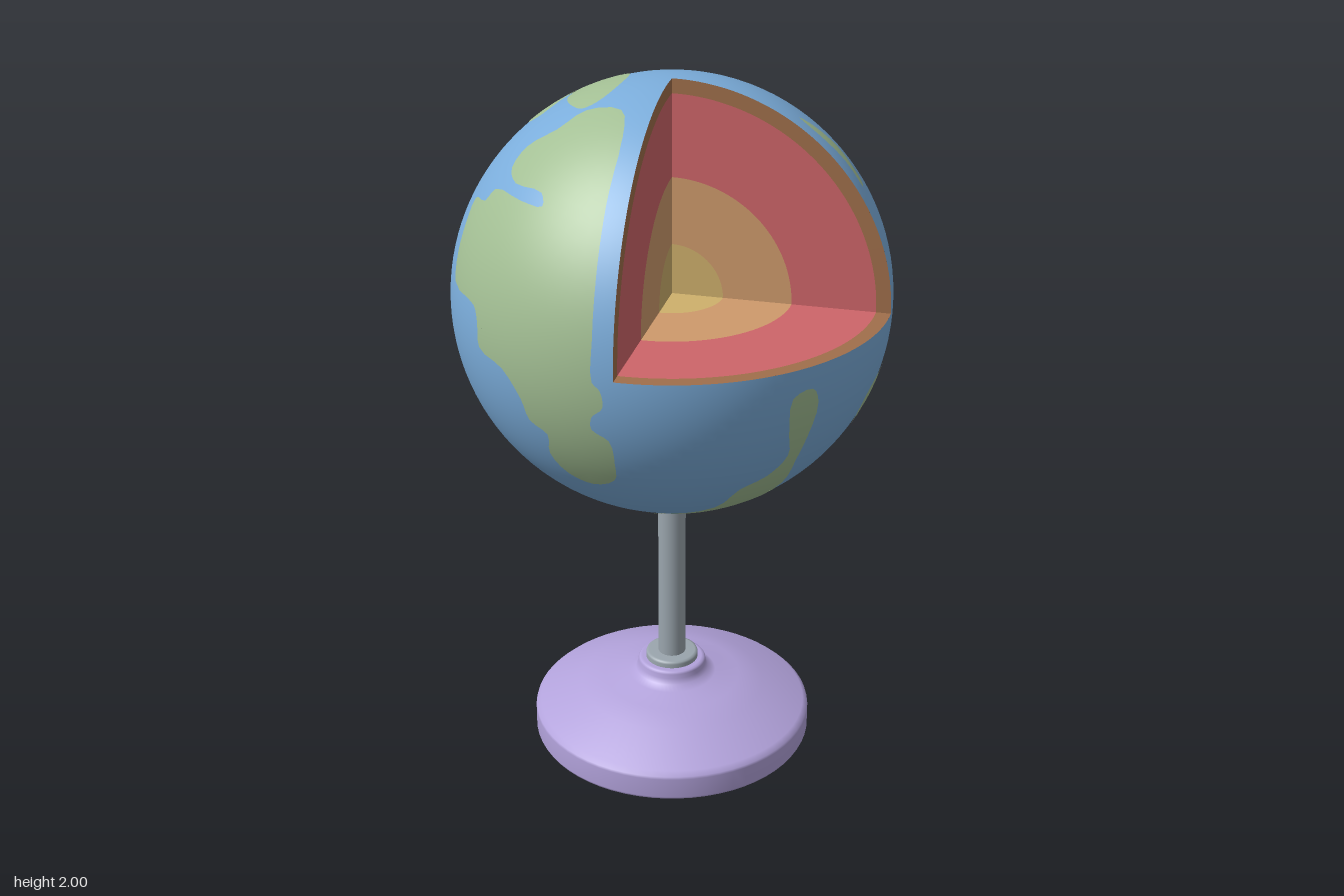
import * as THREE from 'three';

const R = 0.603;          // globe radius
const CY = 2 - R;         // globe centre height
const HALF = Math.PI / 2;

const mat = (name, color) => {
  const m = new THREE.MeshStandardMaterial({ color });
  m.name = name;
  return m;
};

// Lift flat outline points onto the sphere, seen along one direction
const V = (x, y, z) => new THREE.Vector3(x, y, z);
const lift = (right, up, toward, v0 = 0) => (pts) => pts.map(([u, v]) => {
  const b = v - v0;
  const w = Math.sqrt(Math.max(0, R * R - u * u - b * b));
  return V(0, 0, 0).addScaledVector(right, u).addScaledVector(up, b).addScaledVector(toward, w);
});
const fromFront = lift(V(1, 0, 0), V(0, 1, 0), V(0, 0, 1), CY);
const fromSide = lift(V(0, 0, 1), V(0, 1, 0), V(1, 0, 0), CY);
const fromTop = lift(V(1, 0, 0), V(0, 0, 1), V(0, 1, 0));
const fromBack = lift(V(-0.707, 0, 0.707), V(0.299, 0.906, 0.299), V(-0.641, 0.423, -0.641));

// Thin curved land patch filling a closed outline on the sphere
function landGeometry(outline) {
  const n = outline.length;
  const pts = new THREE.CatmullRomCurve3(outline.map((p) => p.clone().normalize()), true)
    .getPoints(n * 3).slice(0, -1).map((p) => p.normalize());
  const c = pts.reduce((s, p) => s.add(p), V(0, 0, 0)).normalize();
  const e1 = V(0.31, 0.52, -0.79).cross(c).normalize();
  const e2 = c.clone().cross(e1);
  const flatten = (p) => new THREE.Vector2(p.dot(e1), p.dot(e2)).divideScalar(1 + p.dot(c));
  if (THREE.ShapeUtils.isClockWise(pts.map(flatten))) pts.reverse();

  const pos = [], nor = [];
  // Halve the longest edge until the patch follows the curvature
  const split = (a, b, d) => {
    const ab = a.distanceTo(b), bd = b.distanceTo(d), da = d.distanceTo(a);
    const m = Math.max(ab, bd, da);
    if (m < 0.09) {
      for (const p of [a, b, d]) {
        nor.push(p.x, p.y, p.z);
        pos.push(p.x * (R + 0.002), p.y * (R + 0.002), p.z * (R + 0.002));
      }
      return;
    }
    if (m === bd) return split(b, d, a);
    if (m === da) return split(d, a, b);
    const mid = a.clone().add(b).normalize();
    split(a, mid, d);
    split(mid, b, d);
  };
  for (const [i, j, k] of THREE.ShapeUtils.triangulateShape(pts.map(flatten), [])) split(pts[i], pts[j], pts[k]);
  const g = new THREE.BufferGeometry();
  g.setAttribute('position', new THREE.Float32BufferAttribute(pos, 3));
  g.setAttribute('normal', new THREE.Float32BufferAttribute(nor, 3));
  return g;
}

const LANDS = {
  frontContinent: fromFront([
    [-0.055, 1.925], [-0.085, 1.963], [-0.185, 1.947], [-0.25, 1.905], [-0.33, 1.855], [-0.36, 1.81], [-0.33, 1.79],
    [-0.24, 1.795], [-0.23, 1.77], [-0.3, 1.765], [-0.4, 1.755], [-0.43, 1.72], [-0.48, 1.7], [-0.5, 1.635],
    [-0.513, 1.57], [-0.51, 1.5], [-0.42, 1.49], [-0.405, 1.45], [-0.4, 1.386], [-0.32, 1.36], [-0.265, 1.29],
    [-0.245, 1.23], [-0.195, 1.2], [-0.2, 1.13], [-0.16, 1.064], [-0.095, 1.04], [-0.026, 1.074], [-0.014, 1.14],
    [-0.02, 1.22], [-0.063, 1.25], [-0.06, 1.29], [-0.03, 1.32], [-0.035, 1.37], [-0.055, 1.39], [-0.055, 1.5],
    [-0.055, 1.65], [-0.055, 1.8]]),
  northContinent: fromBack([
    [-0.347, 0.318], [-0.307, 0.358], [-0.233, 0.386], [-0.102, 0.42], [0.08, 0.42], [0.108, 0.386], [0.193, 0.386],
    [0.278, 0.364], [0.295, 0.318], [0.261, 0.278], [0.318, 0.233], [0.33, 0.153], [0.295, 0.097], [0.222, 0.04],
    [0.136, 0.05], [0.114, 0.006], [0.119, -0.074], [0.051, -0.142], [-0.011, -0.09], [-0.017, -0.028],
    [0.017, 0.023], [-0.034, 0.05], [-0.148, 0.045], [-0.233, 0.085], [-0.26, 0.153], [-0.25, 0.216],
    [-0.273, 0.278], [-0.33, 0.284]]),
  northIsland: fromTop([
    [-0.25, -0.11], [-0.2, -0.1], [-0.143, -0.09], [-0.126, -0.03], [-0.136, 0.07], [-0.165, 0.133], [-0.2, 0.149],
    [-0.246, 0.1], [-0.278, 0.02], [-0.272, -0.05]]),
  sideIsland: fromSide([
    [0.11, 1.196], [0.074, 1.233], [-0.048, 1.243], [-0.1, 1.238], [-0.164, 1.2], [-0.185, 1.153], [-0.16, 1.1],
    [-0.1, 1.07], [-0.01, 1.058], [0.063, 1.085], [0.1, 1.13]]),
  tinyIsland: fromSide([[-0.11, 0.99], [-0.13, 1.005], [-0.15, 0.99], [-0.13, 0.975]]),
  slimIsland: fromSide([
    [-0.058, 1.9], [-0.085, 1.873], [-0.11, 1.81], [-0.095, 1.767], [-0.08, 1.73], [-0.058, 1.725],
    [-0.063, 1.79], [-0.05, 1.862]]),
  southContinent: [
    [0.418, -0.078, 0.423], [0.46, -0.063, 0.38], [0.471, -0.11, 0.355], [0.444, -0.215, 0.341], [0.413, -0.295, 0.32],
    [0.36, -0.41, 0.245], [0.268, -0.506, 0.18], [0.161, -0.57, 0.095], [0.03, -0.598, -0.01], [-0.1, -0.585, -0.07],
    [-0.25, -0.525, -0.14], [-0.41, -0.36, -0.26], [-0.48, -0.185, -0.305], [-0.506, -0.169, -0.272],
    [-0.513, -0.22, -0.216], [-0.467, -0.36, -0.112], [-0.555, -0.16, -0.154], [-0.581, -0.047, -0.147],
    [-0.594, 0.028, -0.08], [-0.59, 0.1, -0.02], [-0.587, 0.095, 0.073], [-0.575, 0, 0.165], [-0.569, -0.065, 0.17],
    [-0.564, -0.149, 0.14], [-0.54, -0.257, -0.02], [-0.475, -0.36, -0.04], [-0.33, -0.49, 0.05],
    [-0.175, -0.553, 0.154], [-0.095, -0.538, 0.248], [0.063, -0.516, 0.299], [0.196, -0.469, 0.318],
    [0.275, -0.375, 0.379], [0.344, -0.336, 0.36], [0.397, -0.268, 0.36], [0.407, -0.19, 0.4]].map((p) => V(...p)),
};

export function createModel() {
  const ocean = mat('ocean blue', 0x7baddb);
  const land = mat('land green', 0xa3bf94);
  const purple = mat('base purple', 0xb3a3dc);
  const metal = mat('stand grey', 0x9aa5ad);
  const layers = [
    ['innerCore', 0, 0.143, mat('inner core yellow', 0xcfb06c)],
    ['outerCore', 0.143, 0.333, mat('outer core orange', 0xcf9a6c)],
    ['mantle', 0.333, 0.563, mat('mantle red', 0xce6569)],
    ['crust', 0.563, R, mat('crust brown', 0xa06f4b)],
  ];

  const model = new THREE.Group();
  const add = (parent, name, geometry, material) => {
    const mesh = new THREE.Mesh(geometry, material);
    mesh.name = name;
    parent.add(mesh);
    return mesh;
  };

  // Globe: full lower half, upper half missing one quarter
  const globe = new THREE.Group();
  globe.name = 'globe';
  globe.position.y = CY;
  model.add(globe);
  add(globe, 'lowerOcean', new THREE.SphereGeometry(R, 128, 32, 0, Math.PI * 2, HALF, HALF), ocean);
  add(globe, 'upperOcean', new THREE.SphereGeometry(R, 96, 32, Math.PI, Math.PI * 1.5, 0, HALF), ocean);
  for (const [name, outline] of Object.entries(LANDS)) add(globe, name, landGeometry(outline), land);

  // Layers on the three faces of the cutaway
  for (const [name, inner, outer, material] of layers) {
    const quarter = (start) => new THREE.RingGeometry(inner, outer, 40, 1, start, HALF);
    add(globe, name + 'BackWall', quarter(0), material);
    add(globe, name + 'SideWall', quarter(HALF).rotateY(HALF), material);
    add(globe, name + 'Floor', quarter(-HALF).rotateX(-HALF), material);
  }

  // Stand
  const lathe = (pts) => new THREE.LatheGeometry(pts.map(([x, y]) => new THREE.Vector2(x, y)), 64);
  add(model, 'base', lathe([
    [0, 0], [0.4, 0], [0.406, 0.002], [0.41, 0.01], [0.41, 0.07], [0.408, 0.078], [0.395, 0.09], [0.27, 0.147],
    [0.2, 0.168], [0.13, 0.18], [0.108, 0.192], [0.1, 0.208], [0.1, 0.222], [0.096, 0.228], [0.088, 0.23], [0, 0.23]]), purple);
  add(model, 'poleFoot', lathe([
    [0.077, 0.22], [0.077, 0.242], [0.075, 0.248], [0.068, 0.25], [0.03, 0.25]]), metal);
  add(model, 'pole', new THREE.CylinderGeometry(0.04, 0.04, 0.58, 40).translate(0, 0.51, 0), metal);
  add(model, 'globeCup', lathe([
    [0.03, 0.757], [0.052, 0.757], [0.064, 0.762], [0.112, 0.795], [0.118, 0.803], [0.116, 0.81]]), metal);
  return model;
}
